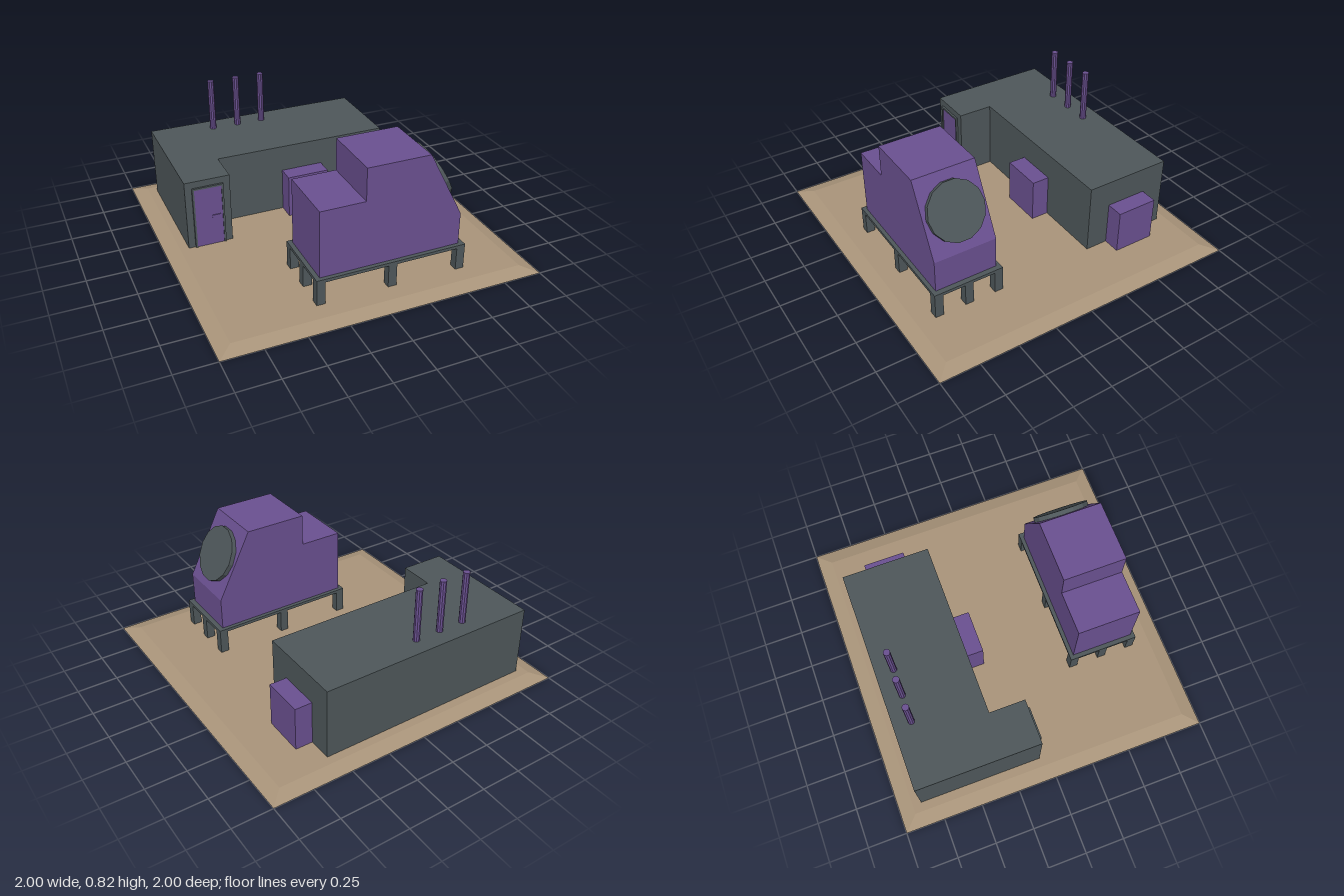
import * as THREE from 'three';

export function createModel() {
  const model = new THREE.Group();
  const material = (name, color) => {
    const m = new THREE.MeshStandardMaterial({ color });
    m.name = name;
    return m;
  };
  const purple = material('purple', 0x6a5090);
  const slate = material('slate', 0x4e575a);
  const sand = material('sand', 0xa9947a);

  const add = (name, geometry, mat, parent = model) => {
    const mesh = new THREE.Mesh(geometry, mat);
    mesh.name = name;
    parent.add(mesh);
    return mesh;
  };
  // Box given by its limits on each axis
  const box = (name, mat, x0, x1, y0, y1, z0, z1, parent) => {
    const mesh = add(name, new THREE.BoxGeometry(x1 - x0, y1 - y0, z1 - z0), mat, parent);
    mesh.position.set((x0 + x1) / 2, (y0 + y1) / 2, (z0 + z1) / 2);
    return mesh;
  };
  // Faceted cylinder
  const prism = (rTop, rBottom, height, sides, start = 0) => {
    const g = new THREE.CylinderGeometry(rTop, rBottom, height, sides, 1, false, start).toNonIndexed();
    g.computeVertexNormals();
    return g;
  };
  const extrude = (points, depth) => new THREE.ExtrudeGeometry(
    new THREE.Shape(points.map(([x, y]) => new THREE.Vector2(x, y))), { depth, bevelEnabled: false });
  const ground = 0.025;

  // Bevelled ground slab
  add('groundSlab', prism(0.91 * Math.SQRT2, Math.SQRT2, ground, 4, Math.PI / 4), sand).position.y = ground / 2;

  // L-shaped building, drawn as a plan (x, -z) and raised
  const building = new THREE.Group();
  building.name = 'building';
  model.add(building);
  const walls = add('buildingWalls', extrude([
    [-0.855, 0.06], [-0.57, 0.06], [-0.57, 0.29], [0.57, 0.29], [0.57, 0.855], [-0.855, 0.855],
  ], 0.48 - ground), slate, building);
  walls.rotation.x = -Math.PI / 2;
  walls.position.y = ground;

  // Door with frame and handle
  box('doorFrameLeft', slate, -0.627, -0.615, ground, 0.437, -0.062, -0.047, building);
  box('doorFrameRight', slate, -0.812, -0.8, ground, 0.437, -0.062, -0.047, building);
  box('doorFrameTop', slate, -0.8, -0.627, 0.425, 0.437, -0.062, -0.047, building);
  box('door', purple, -0.8, -0.627, ground, 0.425, -0.062, -0.053, building);
  box('doorHandle', purple, -0.695, -0.64, 0.216, 0.231, -0.054, -0.047, building);

  // Cabinets against the walls
  box('frontCabinet', purple, -0.14, 0.135, ground, 0.308, -0.29, -0.175, building);
  box('sideCabinet', purple, 0.57, 0.68, ground, 0.308, -0.705, -0.437, building);

  // Roof pipes
  for (const x of [-0.458, -0.287, -0.116]) {
    add('roofPipe', prism(0.021, 0.021, 0.34, 10), purple, building).position.set(x, 0.65, -0.741);
  }

  // Raised platform on nine legs
  const machine = new THREE.Group();
  machine.name = 'machine';
  model.add(machine);
  box('platform', slate, -0.363, 0.59, 0.17, 0.19, 0.345, 0.795, machine);
  for (const x of [-0.336, 0.113, 0.563]) {
    for (const z of [0.372, 0.57, 0.768]) {
      box('platformLeg', slate, x - 0.027, x + 0.027, ground, 0.17, z - 0.027, z + 0.027, machine);
    }
  }

  // Stepped housing with a sloping end
  add('machineHousing', extrude([
    [-0.335, 0.19], [0.557, 0.19], [0.557, 0.395], [0.337, 0.82],
    [-0.057, 0.82], [-0.057, 0.615], [-0.335, 0.615],
  ], 0.4), purple, machine).position.z = 0.37;

  // Round dish lying on the slope
  const tilt = Math.atan2(0.425, 0.22);
  const dish = add('dish', prism(0.18, 0.18, 0.03, 14), slate, machine);
  dish.rotation.z = -tilt;
  dish.position.set(0.447 + 0.015 * Math.sin(tilt), 0.6075 + 0.015 * Math.cos(tilt), 0.57);

  return model;
}
